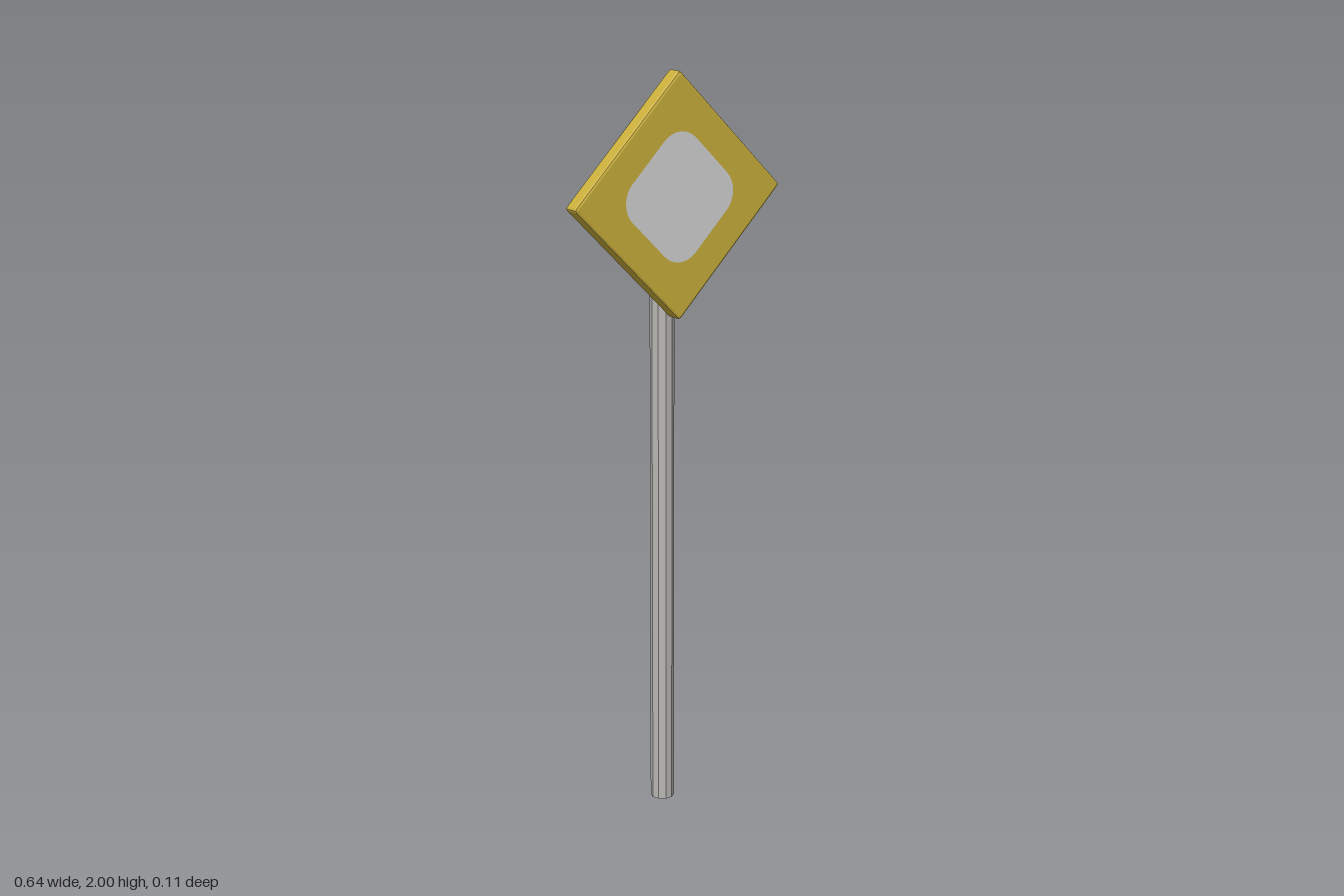
import * as THREE from 'three';

const flat = (name, color) => {
  const m = new THREE.MeshStandardMaterial({ color, flatShading: true });
  m.name = name;
  return m;
};

// Square outline with rounded corners, turned to stand on one corner
function diamond(halfSide, radius, steps) {
  const c = halfSide - radius, pts = [];
  for (let q = 0; q < 4; q++) {
    const mid = q * Math.PI / 2; // direction of this corner
    for (let i = 0; i <= steps; i++) {
      const a = mid - Math.PI / 4 + (i / steps) * Math.PI / 2;
      pts.push(new THREE.Vector2(
        c * Math.SQRT2 * Math.cos(mid) + radius * Math.cos(a),
        c * Math.SQRT2 * Math.sin(mid) + radius * Math.sin(a)));
    }
  }
  return new THREE.Shape(pts);
}

export function createModel() {
  const group = new THREE.Group();
  group.name = 'diamondRoadSign';
  const yellow = flat('yellowPaint', 0xcbb03c);
  const silver = flat('reflectivePanel', 0xd6d6d6);
  const metal = flat('galvanisedMetal', 0xbab7b3);

  const add = (name, geometry, material, x, y, z) => {
    const mesh = new THREE.Mesh(geometry, material);
    mesh.name = name;
    mesh.position.set(x, y, z);
    group.add(mesh);
    return mesh;
  };

  const sides = 10, poleX = -0.004, poleZ = -0.018, signY = 1.682;

  // Ten-sided post
  const post = new THREE.CylinderGeometry(0.032, 0.032, 1.6, sides);
  post.rotateY(Math.PI / 2);
  add('post', post, metal, poleX, 0.8, poleZ);

  // Wider sleeve on top of the post with a bevelled rim
  const profile = [[0, 1.585], [0.041, 1.585], [0.041, 1.79], [0.034, 1.8], [0, 1.8]]
    .map(([r, y]) => new THREE.Vector2(r, y));
  const sleeve = new THREE.LatheGeometry(profile, sides);
  sleeve.rotateY(Math.PI / 2);
  add('mountingSleeve', sleeve, metal, poleX, 0, poleZ);

  // Sign plate with bevelled edges
  const bevel = 0.007;
  const plate = new THREE.ExtrudeGeometry(diamond(0.227 - bevel, 0.002, 2), {
    depth: 0.046 - 2 * bevel, bevelEnabled: true,
    bevelThickness: bevel, bevelSize: bevel, bevelSegments: 2,
  });
  add('signPlate', plate, yellow, 0, signY, 0.010 + bevel);

  // Pale panel on the front of the plate
  add('frontPanel', new THREE.ShapeGeometry(diamond(0.139, 0.07, 8)), silver, 0, signY, 0.0568);

  return group;
}
